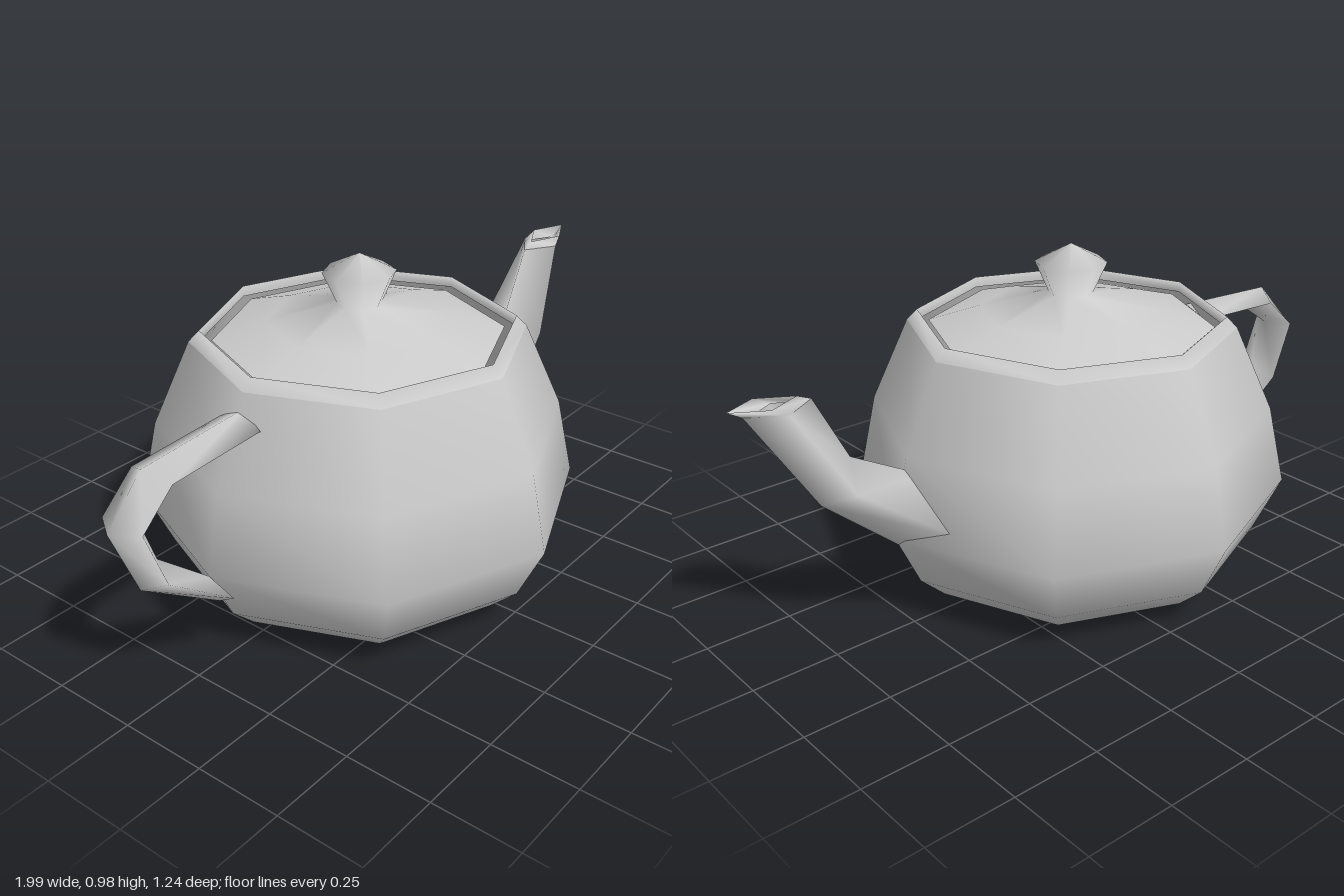
import * as THREE from 'three';

const SIDES = 8;
const BODY_X = -0.07;

const material = new THREE.MeshStandardMaterial({ color: 0xcccccc, side: THREE.DoubleSide });

// Eight-sided turned part, profile given from bottom to top as [radius, y]
function turned(name, profile) {
  const points = profile.map(([r, y]) => new THREE.Vector2(r, y));
  const mesh = new THREE.Mesh(new THREE.LatheGeometry(points, SIDES), material);
  mesh.name = name;
  mesh.position.x = BODY_X;
  return mesh;
}

// Diamond-section tube; each station is [ax, ay, bx, by, halfWidth],
// where a and b are opposite corners lying in the z = 0 plane
function diamondTube(name, stations) {
  const positions = [];
  const index = [];
  for (const [ax, ay, bx, by, w] of stations) {
    const mx = (ax + bx) / 2;
    const my = (ay + by) / 2;
    positions.push(ax, ay, 0, mx, my, w, bx, by, 0, mx, my, -w);
  }
  for (let i = 0; i < stations.length - 1; i++) {
    for (let j = 0; j < 4; j++) {
      const p = i * 4 + j;
      const q = i * 4 + (j + 1) % 4;
      index.push(p, q, p + 4, q, q + 4, p + 4);
    }
  }
  const geometry = new THREE.BufferGeometry();
  geometry.setAttribute('position', new THREE.Float32BufferAttribute(positions, 3));
  geometry.setIndex(index);
  geometry.computeVertexNormals();
  const mesh = new THREE.Mesh(geometry, material);
  mesh.name = name;
  return mesh;
}

export function createModel() {
  const group = new THREE.Group();
  group.name = 'teapot';

  // Pot with a slightly rounded base
  group.add(turned('body', [
    [0, 0], [0.398, 0.015], [0.465, 0.047], [0.543, 0.119],
    [0.62, 0.279], [0.572, 0.503], [0.465, 0.744],
  ]));

  // Raised lip around the opening
  group.add(turned('rim', [[0.465, 0.744], [0.435, 0.775], [0.434, 0.744]]));

  // Lid sitting inside the rim, flowing up into the knob
  group.add(turned('lid', [
    [0.403, 0.744], [0.256, 0.791], [0.062, 0.837], [0.101, 0.925], [0, 0.977],
  ]));

  // Handle: inner corner, outer corner, half width
  group.add(diamondTube('handle', [
    [-0.566, 0.628, -0.535, 0.698, 0.07],
    [-0.818, 0.619, -0.884, 0.68, 0.07],
    [-0.907, 0.558, -1.0, 0.558, 0.07],
    [-0.857, 0.419, -0.917, 0.359, 0.07],
    [-0.69, 0.279, -0.659, 0.186, 0.07],
  ]));

  // Spout: upper corner, lower corner, half width
  const mouth = [0.767, 0.744, 0.953, 0.744, 0.058];
  group.add(diamondTube('spout', [
    [0.457, 0.442, 0.457, 0.186, 0.153],
    [0.67, 0.558, 0.763, 0.448, 0.106],
    mouth,
  ]));

  // Lip rolling over into the spout opening
  group.add(diamondTube('spoutLip', [
    mouth,
    [0.806, 0.761, 0.993, 0.768, 0.047],
    [0.798, 0.744, 0.922, 0.744, 0.035],
  ]));

  return group;
}
